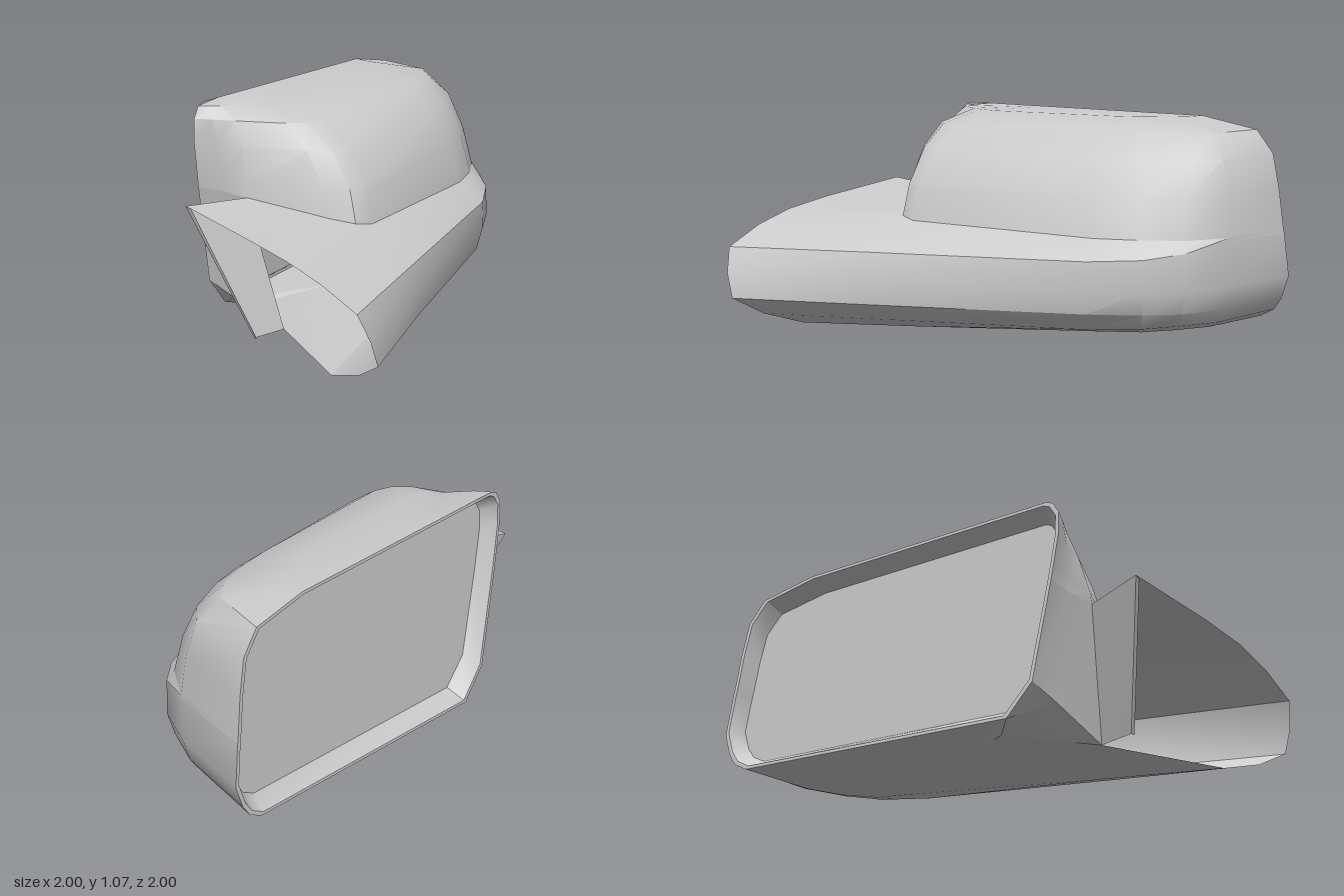
import * as THREE from 'three';
import { toCreasedNormals } from 'three/addons/utils/BufferGeometryUtils.js';

const material = new THREE.MeshStandardMaterial({ color: 0xcccccc, side: THREE.DoubleSide });

// Point on the slanted, slightly leaning plane that carries the mirror opening
const R = (x, y) => [x, y, -0.95 + 3.08 * (x + 1) - 0.12 * y];

// Joins neighbouring rows of points into a surface, skipping collapsed triangles
function skin(name, rows, closed = false) {
  const pos = [];
  const same = (p, q) => p.every((v, k) => v === q[k]);
  const tri = (a, b, c) => {
    if (!same(a, b) && !same(b, c) && !same(a, c)) pos.push(...a, ...b, ...c);
  };
  for (let i = 0; i + 1 < rows.length; i++) {
    const n = rows[i].length;
    for (let j = 0; j < (closed ? n : n - 1); j++) {
      const k = (j + 1) % n;
      const [a, b, c, d] = [rows[i][j], rows[i][k], rows[i + 1][k], rows[i + 1][j]];
      tri(a, b, c);
      tri(a, c, d);
    }
  }
  const geometry = new THREE.BufferGeometry();
  geometry.setAttribute('position', new THREE.Float32BufferAttribute(pos, 3));
  const mesh = new THREE.Mesh(toCreasedNormals(geometry, 0.55), material);
  mesh.name = name;
  return mesh;
}

export function createModel() {
  const group = new THREE.Group();
  group.name = 'wingMirror';

  // Horizontal slice of the hood: rim back, outside points, rim front
  const slice = (y, back, pts, front) =>
    [R(back, y), ...pts.map(([x, z]) => [x, y, z]), R(front, y)];

  // Seam where the hood sits on the arm
  const seam = [
    R(-0.98, 0.53), [-0.54, 0.53, -1], [-0.33, 0.53, -0.93], [-0.18, 0.53, -0.78], [-0.06, 0.53, -0.6],
    [0.31, 0.555, 0.28], [0.3, 0.57, 0.37], [0.22, 0.59, 0.45], [-0.12, 0.66, 0.68],
  ];
  const frontMid = [-0.28, 0.66, 0.7];

  // Hood, from its top ridge down to the seam
  const ridge = [];
  for (let i = 0; i <= 10; i++) ridge.push(R(-0.82 + 0.04 * i, 1.055 + 0.0015 * i));
  group.add(skin('hood', [
    ridge,
    slice(1.055, -0.83, [[-0.72, -0.56], [-0.64, -0.5], [-0.54, -0.4], [-0.48, -0.3], [-0.26, 0.33],
      [-0.26, 0.44], [-0.28, 0.52], [-0.34, 0.66], [-0.37, 0.7]], -0.41),
    slice(1, -0.92, [[-0.61, -0.83], [-0.51, -0.76], [-0.38, -0.59], [-0.31, -0.45], [0, 0.32],
      [0, 0.42], [-0.05, 0.5], [-0.24, 0.65], [-0.33, 0.72]], -0.402),
    slice(0.89, -0.95, [[-0.57, -0.93], [-0.44, -0.86], [-0.29, -0.69], [-0.19, -0.52], [0.16, 0.3],
      [0.15, 0.39], [0.08, 0.48], [-0.18, 0.66], [-0.3, 0.71]], -0.406),
    slice(0.72, -0.966, [[-0.55, -0.975], [-0.37, -0.9], [-0.22, -0.75], [-0.1, -0.57], [0.27, 0.29],
      [0.26, 0.37], [0.18, 0.46], [-0.13, 0.68], [-0.28, 0.7]], -0.42),
    [...seam, frontMid, R(-0.425, 0.66)],
  ]));

  // Arm top and the ledge that fades out round the back of the hood
  const tip = [-0.15, 0.67, 1];
  const armEdge = [
    R(-0.982, 0.51), [-0.54, 0.51, -1], [-0.3, 0.475, -0.955], [-0.13, 0.45, -0.85], [0.05, 0.44, -0.66],
    [0.6, 0.43, 0.28], [0.96, 0.42, 0.9],
  ];
  group.add(skin('armTop', [
    [...seam.slice(0, 7), seam[6], seam[7], seam[7], seam[8]],
    [...armEdge, [0.76, 0.51, 0.935], [0.56, 0.568, 0.962], [0.31, 0.61, 0.98], tip],
  ]));

  // Outer wall of the arm and lower housing, curling in to the underside
  const bottom = [
    R(-0.96, 0.09), [-0.6, 0.08, -0.83], [-0.42, 0.08, -0.78], [-0.3, 0.07, -0.68], [-0.2, 0.06, -0.5],
    [0.3, 0.035, 0.26], [0.62, 0.02, 0.77],
  ];
  group.add(skin('armOuterWall', [
    armEdge,
    [R(-0.997, 0.3), [-0.54, 0.3, -1], [-0.3, 0.3, -0.96], [-0.13, 0.3, -0.855], [0.05, 0.3, -0.66],
      [0.62, 0.3, 0.27], [1, 0.3, 0.86]],
    [R(-0.99, 0.19), [-0.54, 0.19, -0.97], [-0.31, 0.19, -0.93], [-0.15, 0.19, -0.83], [0.03, 0.19, -0.64],
      [0.61, 0.18, 0.26], [1, 0.18, 0.82]],
    [R(-0.98, 0.13), [-0.56, 0.12, -0.92], [-0.35, 0.12, -0.87], [-0.2, 0.11, -0.77], [-0.05, 0.1, -0.58],
      [0.49, 0.095, 0.24], [0.84, 0.09, 0.79]],
    bottom,
  ]));

  // Front wall between arm and rim, with the arm's short inner side
  const heel = [0.03, 0.03, 0.76];
  const wallFoot = [0.02, 0.03, 0.58];
  const sill = [-0.44, 0, 0.42];
  const rimCorner = R(-0.515, 0.02);
  group.add(skin('frontWall', [
    [tip, seam[8], frontMid, R(-0.425, 0.66)],
    [heel, wallFoot, [-0.3, 0.12, 0.64], R(-0.47, 0.17)],
    [heel, wallFoot, sill, rimCorner],
  ]));

  // Narrow lip on the inner edge of the open arm end
  group.add(skin('armEndLip', [
    [tip, heel],
    [[tip[0] + 0.03, tip[1] - 0.01, tip[2] - 0.01], [heel[0] + 0.02, heel[1], heel[2]]],
  ]));

  // Underside
  const base = [...bottom, wallFoot, sill, rimCorner];
  group.add(skin('underside', [base, base.map(() => [-0.35, 0.04, 0])], true));

  // Rim: thin lip, then recess walls leading to the glass
  const outline = [
    [-0.515, 0.02], [-0.47, 0.17], [-0.425, 0.66], [-0.42, 0.72], [-0.406, 0.89], [-0.402, 1], [-0.41, 1.055],
    [-0.42, 1.07], [-0.82, 1.055], [-0.83, 1.055], [-0.92, 1], [-0.95, 0.89], [-0.966, 0.72], [-0.98, 0.53],
    [-0.982, 0.51], [-0.997, 0.3], [-0.99, 0.19], [-0.98, 0.13], [-0.96, 0.09],
  ];
  const depth = 0.08;
  const ring = (sx, sy, d) => outline.map(([x, y]) => {
    const p = R(-0.7 + (x + 0.7) * sx, 0.56 + (y - 0.56) * sy);
    return [p[0] + 0.94 * d, p[1], p[2] - 0.33 * d];
  });
  const lip = ring(0.98, 0.97, 0);
  const recess = ring(0.94, 0.87, depth);
  group.add(skin('rim', [ring(1, 1, 0), lip], true));
  group.add(skin('recessWall', [lip, recess], true));
  const [cx, cy, cz] = R(-0.7, 0.56);
  const glassCentre = [cx + 0.94 * depth, cy, cz - 0.33 * depth];
  group.add(skin('mirrorGlass', [recess, recess.map(() => glassCentre)], true));

  return group;
}
